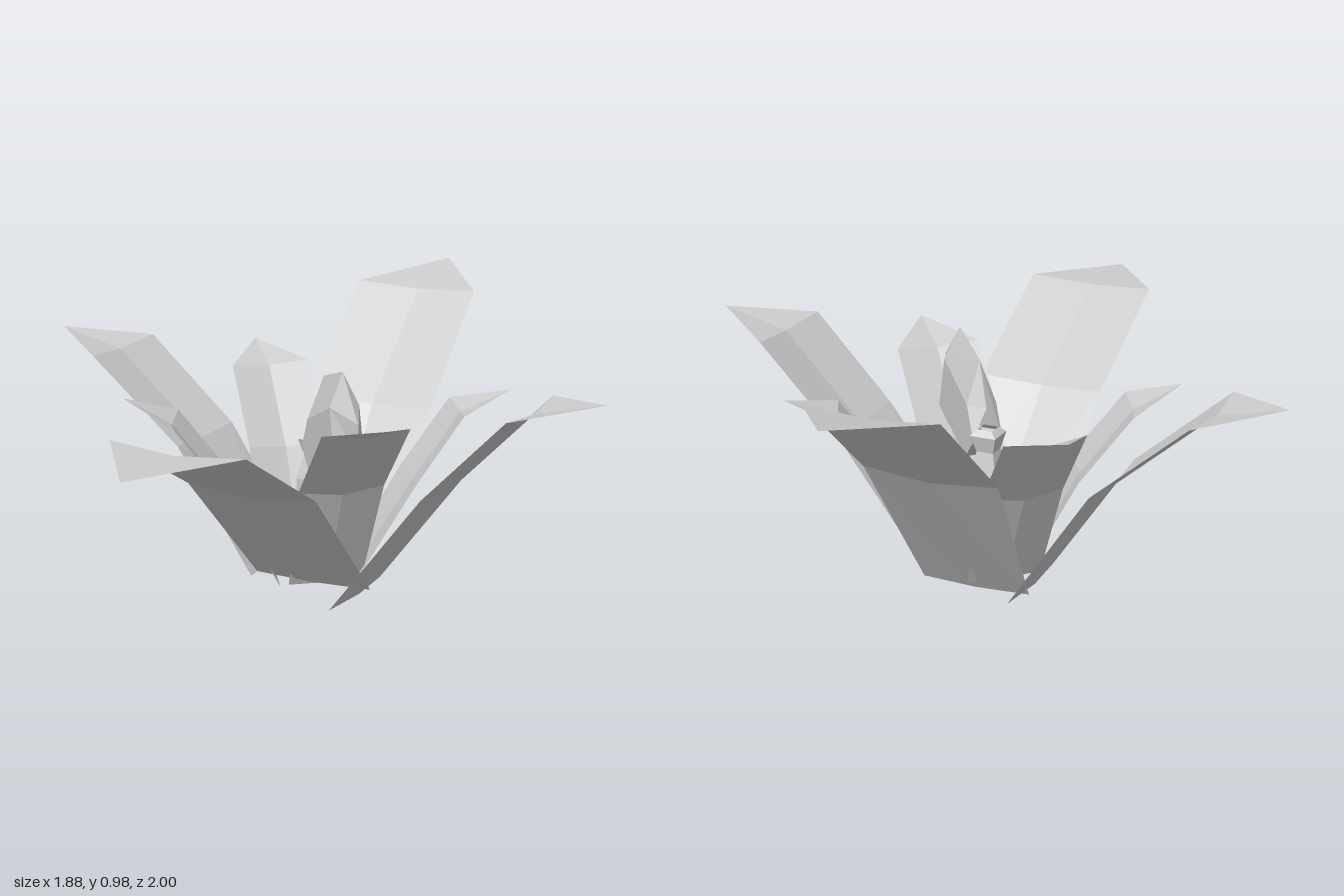
import * as THREE from 'three';

const material = new THREE.MeshStandardMaterial({ color: 0xcccccc, flatShading: true, side: THREE.DoubleSide });

// Skin between successive rows of points; closed rows wrap around.
function loft(name, rows, closed) {
  const n = rows[0].length, index = [];
  for (let r = 0; r < rows.length - 1; r++) {
    for (let i = 0; i < (closed ? n : n - 1); i++) {
      const a = r * n + i, b = r * n + (i + 1) % n;
      index.push(a, b, b + n, a, b + n, a + n);
    }
  }
  const geometry = new THREE.BufferGeometry();
  geometry.setAttribute('position', new THREE.Float32BufferAttribute(rows.flat(2), 3));
  geometry.setIndex(index);
  geometry.computeVertexNormals();
  const mesh = new THREE.Mesh(geometry, material);
  mesh.name = name;
  return mesh;
}

// Keeled leaf: each row is [distance outward, height, half width].
function leaf({ name, base: [bx, bz], dir: [dx, dz], rows }) {
  const len = Math.hypot(dx, dz), ux = dx / len, uz = dz / len;
  return loft(name, rows.map(([d, y, w]) => [-1, 0, 1].map(side => {
    const keel = side === 0 && w > 0 ? 0.016 : 0;
    const out = d + keel;
    return [bx + ux * out - uz * w * side, y - (d > 0 ? keel : 0), bz + uz * out + ux * w * side];
  })), false);
}

const leaves = [
  { name: 'backLeftLeaf', base: [0.14, -0.19], dir: [0.70, -0.71],
    rows: [[0, 0, 0.205], [0.37, 0.55, 0.25], [0.8, 0.92, 0.245], [1.135, 0.975, 0]] },
  { name: 'frontLeftLeaf', base: [0.12, 0.16], dir: [0.69, 0.72],
    rows: [[0, 0.005, 0.205], [0.345, 0.455, 0.205], [0.655, 0.77, 0.21], [0.93, 0.815, 0]] },
  { name: 'frontRightLeaf', base: [-0.02, 0.1], dir: [-0.715, 0.70],
    rows: [[0, 0.05, 0.228], [0.46, 0.505, 0.245], [0.945, 0.775, 0.248], [1.285, 0.757, 0]] },
  { name: 'backRightLeaf', base: [-0.04, -0.265], dir: [-0.69, -0.73],
    rows: [[0, 0.01, 0.195], [0.305, 0.465, 0.2], [0.66, 0.77, 0.21], [0.93, 0.815, 0]] },
  { name: 'frontLeaf', base: [0.045, 0.05], dir: [0, 1],
    rows: [[0, 0.025, 0.14], [0.17, 0.42, 0.16], [0.42, 0.69, 0.16], [0.62, 0.745, 0]] },
  { name: 'backLeaf', base: [0.05, -0.23], dir: [0, -1],
    rows: [[0, 0.035, 0.14], [0.18, 0.42, 0.15], [0.385, 0.69, 0.15], [0.58, 0.745, 0]] },
  { name: 'leftLeaf', base: [0.18, -0.05], dir: [0.97, 0.2],
    rows: [[0, 0.03, 0.145], [0.21, 0.38, 0.155], [0.385, 0.63, 0.145], [0.585, 0.69, 0]] },
  { name: 'rightLeaf', base: [-0.085, -0.075], dir: [-0.95, -0.32],
    rows: [[0, 0.025, 0.145], [0.185, 0.37, 0.15], [0.375, 0.61, 0.145], [0.565, 0.69, 0]] },
];

const CX = 0.055;

// Roofed bud section from [y, z] points: ridge, eaves on both sides, bottom edges of the flat walls.
function budSection(ridge, eave, bottom, w) {
  return [[CX, ...ridge], [CX + w, ...eave], [CX + w, ...bottom], [CX - w, ...bottom], [CX - w, ...eave]];
}

// Four-cornered stem section
function diamond(y, z, w) {
  return [[CX + w, y, z], [CX, y, z + w], [CX - w, y, z], [CX, y, z - w]];
}

export function createModel() {
  const group = new THREE.Group();
  group.name = 'plant';
  leaves.forEach(l => group.add(leaf(l)));

  // Hooded bud leaning forward
  group.add(loft('bud', [
    budSection([0.62, -0.07], [0.51, -0.08], [0.5, -0.08], 0.055),
    budSection([0.78, 0], [0.62, -0.02], [0.42, 0], 0.055),
    budSection([0.84, 0.2], [0.72, 0.22], [0.52, 0.28], 0.055),
    budSection([0.69, 0.36], [0.58, 0.36], [0.58, 0.36], 0),
  ], true));

  // Stem with a swelling, a neck and a collar behind the bud
  group.add(loft('stem', [
    diamond(0.07, -0.09, 0.06), diamond(0.38, -0.09, 0.075), diamond(0.47, -0.09, 0.045),
    diamond(0.53, -0.085, 0.07), diamond(0.55, -0.085, 0.04),
  ], true));
  return group;
}
